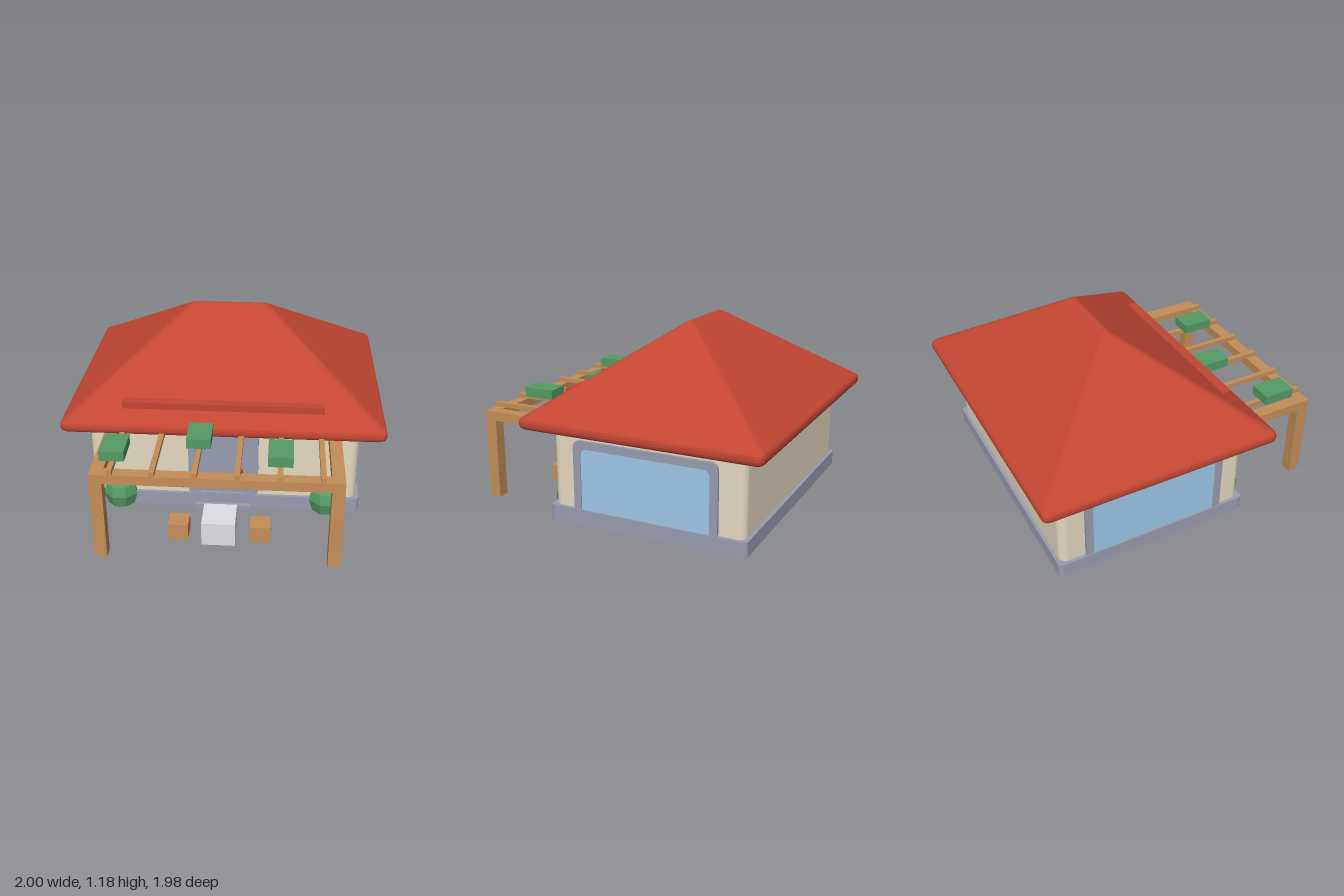
import * as THREE from 'three';

const mat = (name, color) => {
  const m = new THREE.MeshStandardMaterial({ color });
  m.name = name;
  return m;
};

// rounded rectangle outline centred on (cx, cy), written to a Shape or Path
function roundRect(p, w, h, r, cx = 0, cy = 0) {
  const x = w / 2 - r, y = h / 2 - r;
  p.absarc(cx + x, cy + y, r, 0, Math.PI / 2);
  p.absarc(cx - x, cy + y, r, Math.PI / 2, Math.PI);
  p.absarc(cx - x, cy - y, r, Math.PI, Math.PI * 1.5);
  p.absarc(cx + x, cy - y, r, Math.PI * 1.5, Math.PI * 2);
  p.closePath();
  return p;
}

const extrude = (shape, depth) =>
  new THREE.ExtrudeGeometry(shape, { depth, bevelEnabled: false, curveSegments: 4 });

// hipped roof: rounded rectangles [half x, half z, y, corner radius] joined in loops
function roofGeometry(rings) {
  const seg = 4, n = 4 * (seg + 1), pos = [], idx = [];
  for (const [hx, hz, y, r] of rings) {
    for (let c = 0; c < 4; c++) {
      const sx = c === 0 || c === 3 ? 1 : -1, sz = c < 2 ? 1 : -1;
      for (let s = 0; s <= seg; s++) {
        const a = (c + s / seg) * Math.PI / 2;
        pos.push(sx * (hx - r) + r * Math.cos(a), y, sz * (hz - r) + r * Math.sin(a));
      }
    }
  }
  for (let k = 0; k < rings.length - 1; k++) {
    for (let i = 0; i < n; i++) {
      const j = (i + 1) % n, a = k * n + i, b = k * n + j;
      idx.push(a, a + n, b, b, a + n, b + n);
    }
  }
  // caps
  const top = (rings.length - 1) * n;
  for (let i = 1; i < n - 1; i++) idx.push(0, i, i + 1, top, top + i + 1, top + i);
  const g = new THREE.BufferGeometry();
  g.setAttribute('position', new THREE.Float32BufferAttribute(pos, 3));
  g.setIndex(idx);
  const flat = g.toNonIndexed();
  flat.computeVertexNormals();
  return flat;
}

export function createModel() {
  const house = new THREE.Group();
  house.name = 'house';
  const wallTan = mat('wall tan', 0xe4d8c1);
  const trimGrey = mat('trim grey', 0x999cb0);
  const roofRed = mat('roof red', 0xc24633);
  const wood = mat('wood', 0xc48e57);
  const leafGreen = mat('leaf green', 0x549b65);
  const glassBlue = mat('glass blue', 0x9fc8e8);
  const tableGrey = mat('table grey', 0xdedfe4);

  const add = (name, geo, material, parent = house) => {
    const m = new THREE.Mesh(geo, material);
    m.name = name;
    parent.add(m);
    return m;
  };
  // box given by its extents
  const box = (name, material, x0, x1, y0, y1, z0, z1, parent) => {
    const m = add(name, new THREE.BoxGeometry(x1 - x0, y1 - y0, z1 - z0), material, parent);
    m.position.set((x0 + x1) / 2, (y0 + y1) / 2, (z0 + z1) / 2);
    return m;
  };
  // upright slab with rounded corners in plan
  const slab = (name, material, w, d, r, y0, y1) => {
    const g = extrude(roundRect(new THREE.Shape(), w, d, r), y1 - y0);
    g.rotateX(-Math.PI / 2);
    add(name, g, material).position.set(0, y0, -0.222);
  };

  // body: walls and plinth both stand on the ground
  slab('foundation', trimGrey, 1.745, 1.285, 0.03, 0.002, 0.095);
  slab('walls', wallTan, 1.7, 1.245, 0.05, 0.002, 0.62);

  // roof
  const roof = add('roof', roofGeometry([
    [0.97, 0.74, 0.588, 0.03],
    [0.984, 0.754, 0.592, 0.034],
    [0.995, 0.765, 0.602, 0.038],
    [1.0, 0.77, 0.617, 0.04],
    [1.0, 0.77, 0.636, 0.04],
    [0.996, 0.766, 0.65, 0.04],
    [0.986, 0.756, 0.661, 0.04],
    [0.95, 0.72, 0.685, 0.04],
    [0.262, 0.034, 1.163, 0.03],
    [0.245, 0.02, 1.171, 0.018],
    [0.225, 0.008, 1.176, 0.007],
  ]), roofRed);
  roof.position.z = -0.22;
  box('roofRail', roofRed, -0.62, 0.62, 0.722, 0.764, 0.385, 0.45);

  // large side windows
  for (const side of [1, -1]) {
    const win = new THREE.Group();
    win.name = side > 0 ? 'leftWindow' : 'rightWindow';
    const frame = roundRect(new THREE.Shape(), 0.935, 0.51, 0.045, 0, 0.275);
    frame.holes.push(roundRect(new THREE.Path(), 0.835, 0.42, 0.035, 0, 0.27));
    add('windowFrame', extrude(frame, 0.025), trimGrey, win);
    const pane = roundRect(new THREE.Shape(), 0.845, 0.43, 0.035, 0, 0.27);
    add('windowGlass', extrude(pane, 0.008), glassBlue, win).position.z = 0.012;
    win.rotation.y = side * Math.PI / 2;
    win.position.set(side * 0.842, 0, -0.218);
    house.add(win);
  }

  // front door
  const door = new THREE.Group();
  door.name = 'door';
  house.add(door);
  const doorFrame = roundRect(new THREE.Shape(), 0.445, 0.43, 0.03, 0, 0.315);
  doorFrame.holes.push(roundRect(new THREE.Path(), 0.35, 0.39, 0.005, -0.003, 0.305));
  add('doorFrame', extrude(doorFrame, 0.035), trimGrey, door).position.z = 0.39;
  box('doorLeaf', trimGrey, -0.18, 0.175, 0.03, 0.502, 0.39, 0.412, door);
  box('doorHandle', roofRed, 0.095, 0.125, 0.23, 0.29, 0.41, 0.45, door);
  box('doorStep', trimGrey, -0.18, 0.175, 0.002, 0.03, 0.39, 0.45, door);

  // pergola
  const pergola = new THREE.Group();
  pergola.name = 'pergola';
  house.add(pergola);
  for (const s of [1, -1]) {
    const x0 = s > 0 ? 0.655 : -0.73, x1 = x0 + 0.075;
    box('post', wood, x0, x1, 0, 0.52, 0.915, 0.99, pergola);
    box('sideBeam', wood, x0, x1, 0.52, 0.58, 0.39, 0.915, pergola);
  }
  box('frontBeam', wood, -0.73, 0.73, 0.52, 0.58, 0.915, 0.99, pergola);
  for (let i = 0; i < 6; i++) {
    const x = -0.61 + i * 0.243;
    box('rafter', wood, x - 0.016, x + 0.016, 0.58, 0.61, 0.39, 0.988, pergola);
  }
  for (const [x, z] of [[-0.611, 0.785], [-0.125, 0.614], [0.362, 0.785]]) {
    box('vineClump', leafGreen, x - 0.073, x + 0.073, 0.612, 0.675, z - 0.103, z + 0.103, pergola);
  }

  // table and stools
  box('table', tableGrey, -0.105, 0.1, 0, 0.156, 0.62, 0.832);
  for (const x of [-0.252, 0.25]) box('stool', wood, x - 0.062, x + 0.062, 0, 0.108, 0.665, 0.788);

  // faceted bushes beside the posts
  const profile = [[0, 0], [0.096, 0], [0.118, 0.08], [0.1, 0.145], [0.06, 0.172], [0, 0.172]]
    .map(([x, y]) => new THREE.Vector2(x, y));
  const bushGeo = new THREE.LatheGeometry(profile, 8).toNonIndexed();
  bushGeo.computeVertexNormals();
  for (const x of [-0.673, 0.664]) {
    const bush = add('bush', bushGeo, leafGreen);
    bush.position.set(x, 0, 0.38);
    bush.rotation.y = Math.PI / 8;
  }

  return house;
}
